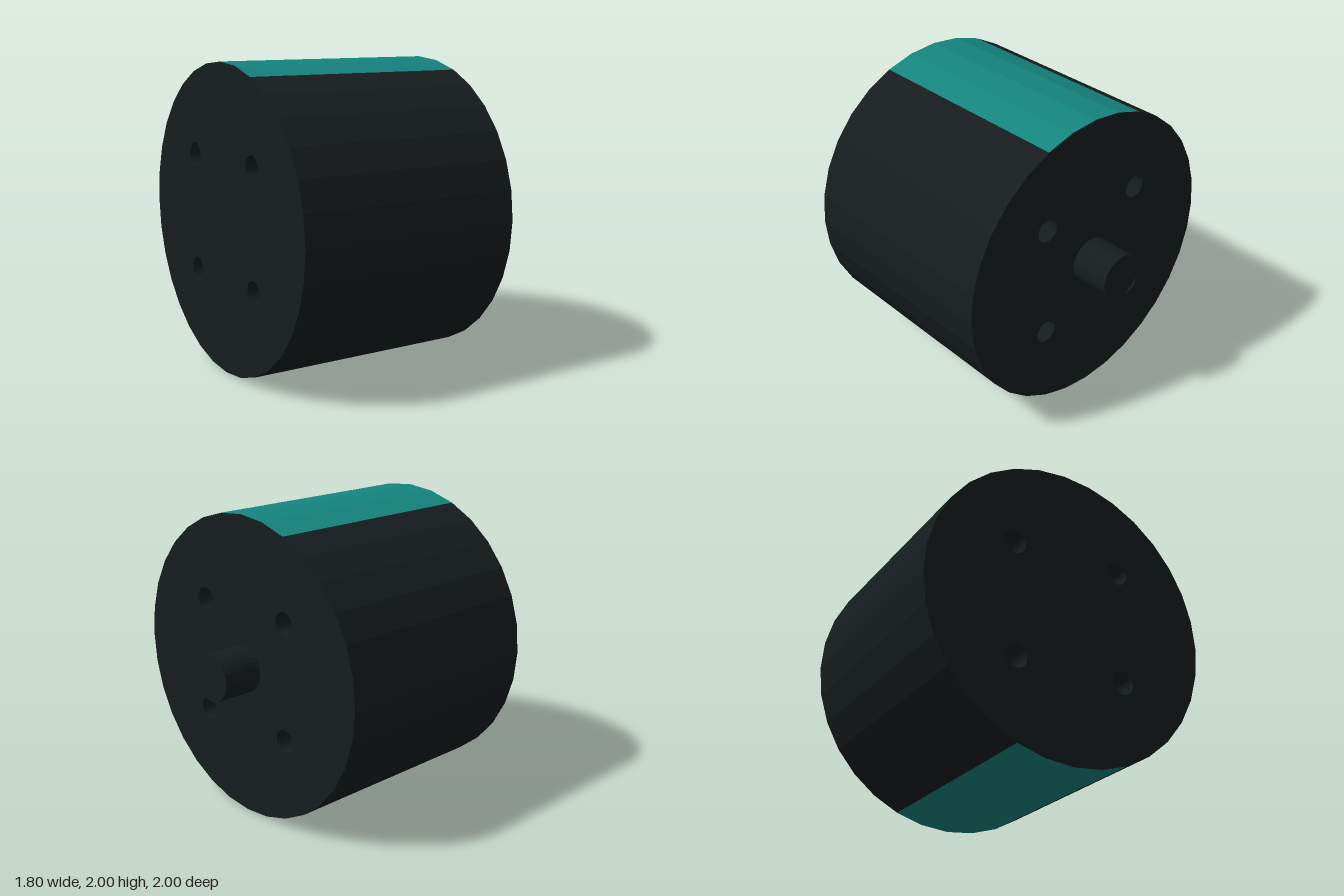
import * as THREE from 'three';

const SIDES = 32, R = 1, X0 = -0.9, X1 = 0.63;
const HOLE_R = 0.077, HOLE_AT = 0.385, HOLE_SIDES = 24;

export function createModel() {
  const model = new THREE.Group();
  const dark = new THREE.MeshStandardMaterial({ color: 0x171d1f, flatShading: true });
  const teal = new THREE.MeshStandardMaterial({ color: 0x15857f, flatShading: true });
  const darkInside = dark.clone();
  darkInside.side = THREE.BackSide;

  const add = (name, geometry, material, x, y = 1, z = 0) => {
    const mesh = new THREE.Mesh(geometry, material);
    mesh.name = name;
    mesh.position.set(x, y, z);
    model.add(mesh);
  };
  // Cylinder lying along x
  const barrel = (r, length, sides, open, start = 0, sweep = Math.PI * 2) =>
    new THREE.CylinderGeometry(r, r, length, sides, 1, open, start, sweep).rotateZ(-Math.PI / 2);

  const length = X1 - X0, mid = (X0 + X1) / 2;

  // Outer wall: coloured bands on top and bottom, dark sides between them
  const band = Math.PI / 4;
  const wall = (name, material, centre, sweep) => add(name,
    barrel(R, length, Math.round(SIDES * sweep / (2 * Math.PI)), true, centre - sweep / 2, sweep),
    material, mid);
  wall('topBand', teal, -Math.PI / 2, band);
  wall('bottomBand', teal, Math.PI / 2, band);
  wall('frontWall', dark, 0, Math.PI - band);
  wall('backWall', dark, Math.PI, Math.PI - band);

  // End plates pierced by four holes
  const circle = (r, n, cx = 0, cy = 0) => Array.from({ length: n }, (_, i) => {
    const a = i / n * Math.PI * 2;
    return new THREE.Vector2(cx + r * Math.cos(a), cy + r * Math.sin(a));
  });
  const plate = new THREE.Shape(circle(R, SIDES));
  for (const sy of [-1, 1]) for (const sz of [-1, 1]) {
    plate.holes.push(new THREE.Path(circle(HOLE_R, HOLE_SIDES, sz * HOLE_AT, sy * HOLE_AT)));
    // Tunnel running through the body
    add('boltHole', barrel(HOLE_R, length, HOLE_SIDES, true), darkInside,
      mid, 1 + sy * HOLE_AT, sz * HOLE_AT);
  }
  add('leftEndPlate', new THREE.ShapeGeometry(plate).rotateY(Math.PI / 2), dark, X1);
  add('rightEndPlate', new THREE.ShapeGeometry(plate).rotateY(-Math.PI / 2), dark, X0);

  // Output shaft
  add('shaft', barrel(0.153, 0.9 - X1, SIDES, false), dark, (0.9 + X1) / 2);
  return model;
}
